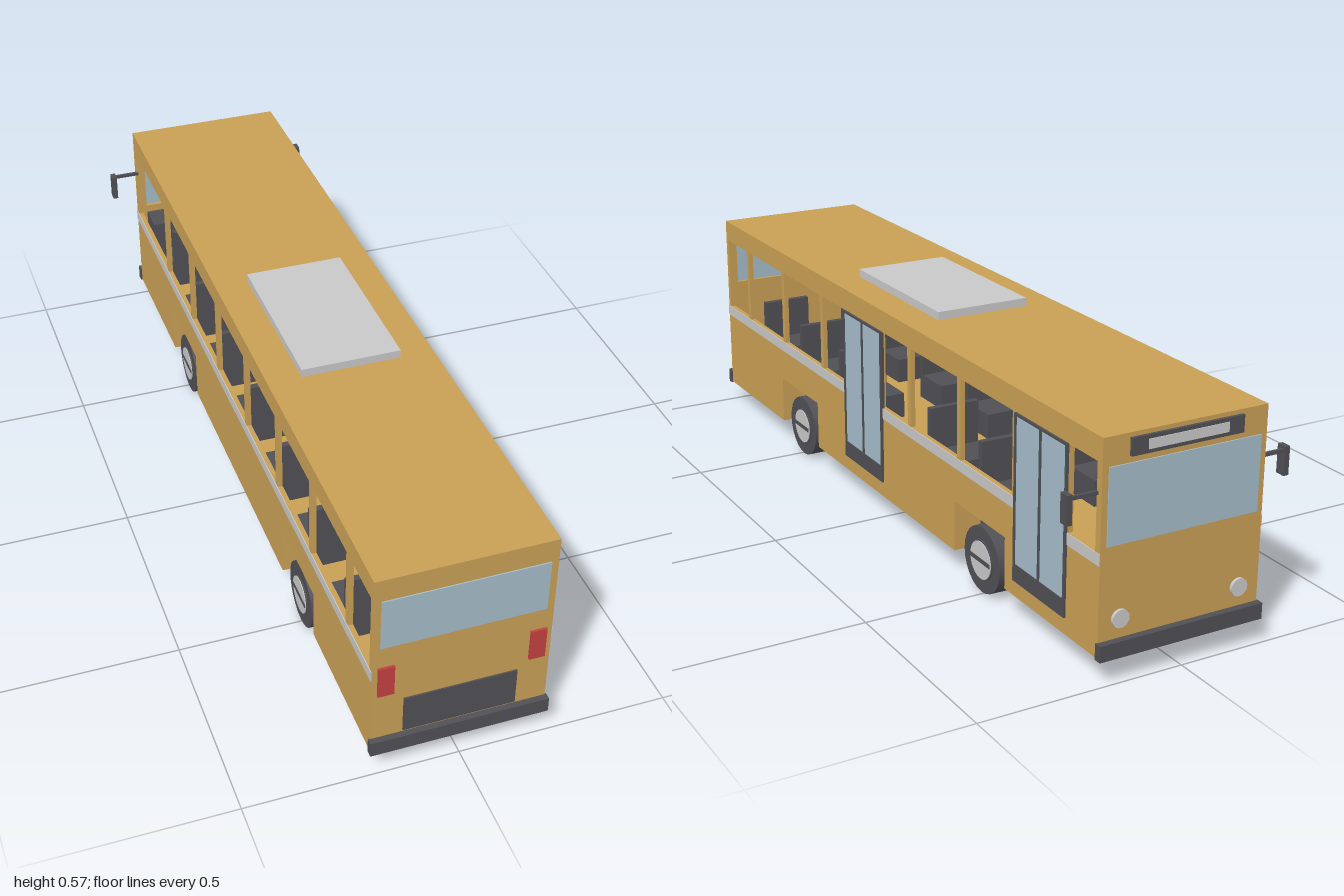
import * as THREE from 'three';

const mat = (name, color) => {
  const m = new THREE.MeshStandardMaterial({ color });
  m.name = name;
  return m;
};

export function createModel() {
  const amber = mat('amber paint', 0xc8a055);
  const dark = mat('dark grey', 0x505055);
  const grey = mat('light grey', 0xc8c8c8);
  const glass = mat('pale blue glass', 0xa5bcc9);
  const red = mat('red lamp', 0xc44040);

  const bus = new THREE.Group();
  bus.name = 'bus';

  const add = (name, geo, material, parent = bus) => {
    const m = new THREE.Mesh(geo, material);
    m.name = name;
    parent.add(m);
    return m;
  };
  // box given by its min and max on each axis
  const box = (name, material, [x0, x1], [y0, y1], [z0, z1], parent = bus) => {
    const m = add(name, new THREE.BoxGeometry(x1 - x0, y1 - y0, z1 - z0), material, parent);
    m.position.set((x0 + x1) / 2, (y0 + y1) / 2, (z0 + z1) / 2);
    return m;
  };
  const rect = (a0, a1, b0, b1, Type = THREE.Shape) => new Type([
    [a0, b0], [a1, b0], [a1, b1], [a0, b1]].map(p => new THREE.Vector2(...p)));
  const extrude = (shape, depth) => new THREE.ExtrudeGeometry(shape, { depth, bevelEnabled: false });

  const W = 0.205, FRONT = -0.983, BACK = 0.985, FLOOR = 0.19, TOP = 0.55, T = 0.012;
  const axles = [-0.491, 0.494];

  // lower body with square wheel notches, extruded across the width
  const profile = [[FRONT, 0.06]];
  axles.forEach(z => profile.push([z - 0.115, 0.06], [z - 0.115, 0.185], [z + 0.115, 0.185], [z + 0.115, 0.06]));
  profile.push([BACK, 0.06], [BACK, FLOOR], [FRONT, FLOOR]);
  // shape x is -z after the quarter turn
  const lower = new THREE.Shape(profile.map(([z, y]) => new THREE.Vector2(-z, y)));
  const lowerMesh = add('lowerBody', extrude(lower, 2 * W), amber);
  lowerMesh.rotation.y = Math.PI / 2;
  lowerMesh.position.x = -W;

  // side walls with open windows between slim pillars
  const pillars = [-0.642, -0.396, -0.152, 0.093, 0.34, 0.587, 0.829];
  const sideWall = (name, x, skip, extra) => {
    const wall = rect(-BACK, -FRONT, FLOOR, TOP);
    const posts = pillars.filter(p => !skip.includes(p)).concat(extra).sort((a, b) => a - b);
    let start = -0.965;
    [...posts, 0.978].forEach(p => {
      wall.holes.push(rect(-(p - 0.008), -start, 0.297, 0.495, THREE.Path));
      start = p + 0.008;
    });
    const m = add(name, extrude(wall, T), amber);
    m.rotation.y = Math.PI / 2;
    m.position.x = x;
  };
  sideWall('leftWall', W - T, [0.093], [-0.854, 0.003, 0.19]);
  sideWall('rightWall', -W, [], []);

  // end walls with glazed openings
  const endWall = (name, z, half, y0, y1) => {
    const wall = rect(-W + T, W - T, FLOOR, TOP);
    wall.holes.push(rect(-half, half, y0, y1, THREE.Path));
    add(name, extrude(wall, T), amber).position.z = z;
  };
  endWall('windscreenWall', FRONT, 0.18, 0.315, 0.48);
  endWall('rearWall', BACK - T, 0.18, 0.367, 0.488);
  box('windscreen', glass, [-0.19, 0.19], [0.31, 0.485], [FRONT - 0.003, FRONT + 0.003]);
  box('rearWindow', glass, [-0.188, 0.188], [0.362, 0.493], [BACK - 0.003, BACK + 0.003]);

  // roof and hatch
  box('roof', amber, [-W + T, W - T], [TOP - 0.012, TOP], [FRONT + T, BACK - T]);
  box('roofHatch', grey, [-0.122, 0.122], [TOP, 0.57], [-0.147, 0.28]);

  // waist stripes
  for (const s of [-1, 1]) {
    const x = [s * W, s * (W + 0.002)].sort((a, b) => a - b);
    const runs = s < 0 ? [[FRONT, BACK]] : [[FRONT, -0.858], [-0.65, -0.013], [0.2, BACK]];
    runs.forEach(r => box('waistStripe', grey, x, [0.27, 0.297], r));
  }

  // twin-leaf doors on the left side
  for (const z of [-0.754, 0.094]) {
    const door = new THREE.Group();
    door.name = 'door';
    bus.add(door);
    const y = [0.1, 0.495], x = [W - 0.004, W + 0.005];
    box('doorSill', dark, x, [0.1, 0.142], [z - 0.105, z + 0.105], door);
    box('doorHeader', dark, x, [0.49, 0.496], [z - 0.105, z + 0.105], door);
    for (const o of [-0.102, 0, 0.102]) box('doorPost', dark, x, y, [z + o - 0.004, z + o + 0.004], door);
    box('doorGlass', glass, [W - 0.002, W + 0.003], [0.14, 0.492], [z - 0.1, z + 0.1], door);
  }

  // wheels and the dark housing between them
  for (const z of axles) {
    box('axleHousing', dark, [-0.135, 0.135], [0.061, 0.186], [z - 0.115, z + 0.115]);
    for (const s of [-1, 1]) {
      const wheel = new THREE.Group();
      wheel.name = 'wheel';
      wheel.position.set(s * 0.172, 0.081, z);
      bus.add(wheel);
      const disc = (name, r, w, m, x = 0) => {
        const d = add(name, new THREE.CylinderGeometry(r, r, w, 24), m, wheel);
        d.rotation.z = Math.PI / 2;
        d.position.x = x;
      };
      disc('tyre', 0.081, 0.05, dark);
      disc('rim', 0.05, 0.055, dark);
      disc('hubcap', 0.046, 0.003, grey, s * 0.028);
      const bar = add('hubBar', new THREE.BoxGeometry(0.003, 0.011, 0.085), dark, wheel);
      bar.position.x = s * 0.029;
    }
  }

  // bumpers
  box('frontBumper', dark, [-0.209, 0.209], [0.058, 0.096], [-1, FRONT + 0.002]);
  box('rearBumper', dark, [-0.209, 0.209], [0.058, 0.096], [BACK - 0.002, 1]);

  // rear lamps and engine grille
  for (const s of [-1, 1]) {
    const x = [s * 0.155, s * 0.192].sort((a, b) => a - b);
    box('rearLamp', red, x, [0.224, 0.305], [BACK - 0.002, BACK + 0.006]);
  }
  box('engineGrille', dark, [-0.131, 0.131], [0.102, 0.198], [BACK - 0.002, BACK + 0.004]);

  // destination board and headlamps
  box('destinationBoard', dark, [-0.14, 0.14], [0.5, 0.54], [FRONT - 0.007, FRONT + 0.002]);
  box('destinationPanel', grey, [-0.1, 0.1], [0.509, 0.531], [FRONT - 0.009, FRONT - 0.006]);
  for (const s of [-1, 1]) {
    const lamp = add('headlamp', new THREE.CylinderGeometry(0.021, 0.021, 0.008, 20), grey);
    lamp.rotation.x = Math.PI / 2;
    lamp.position.set(s * 0.152, 0.142, FRONT - 0.003);
  }

  // mirrors
  for (const s of [-1, 1]) {
    const span = (a, b) => [s * a, s * b].sort((p, q) => p - q);
    box('mirrorArm', dark, span(0.2, 0.27), [0.424, 0.432], [-0.971, -0.963]);
    box('mirrorHead', dark, span(0.267, 0.28), [0.37, 0.437], [-0.972, -0.947]);
  }

  // passenger seats facing the windscreen
  for (const z of [-0.46, -0.215, 0.03, 0.275, 0.52, 0.765]) {
    for (const s of [-1, 1]) {
      if (s > 0 && z === 0.03) continue;
      const seat = new THREE.Group();
      seat.name = 'seat';
      bus.add(seat);
      const x = [s * 0.055, s * 0.185].sort((a, b) => a - b);
      box('seatBack', dark, x, [FLOOR, 0.36], [z - 0.008, z + 0.008], seat);
      box('seatCushion', dark, x, [FLOOR, 0.255], [z - 0.11, z - 0.008], seat);
    }
  }

  // driver's place
  box('driverSeatBack', dark, [-0.165, -0.065], [FLOOR, 0.365], [-0.735, -0.719]);
  box('driverSeatCushion', dark, [-0.165, -0.065], [FLOOR, 0.255], [-0.82, -0.735]);
  box('dashboard', dark, [-0.185, -0.03], [FLOOR, 0.31], [-0.945, -0.865]);
  const steering = add('steeringWheel', new THREE.TorusGeometry(0.03, 0.004, 8, 24), dark);
  steering.position.set(-0.115, 0.338, -0.878);

  return bus;
}
